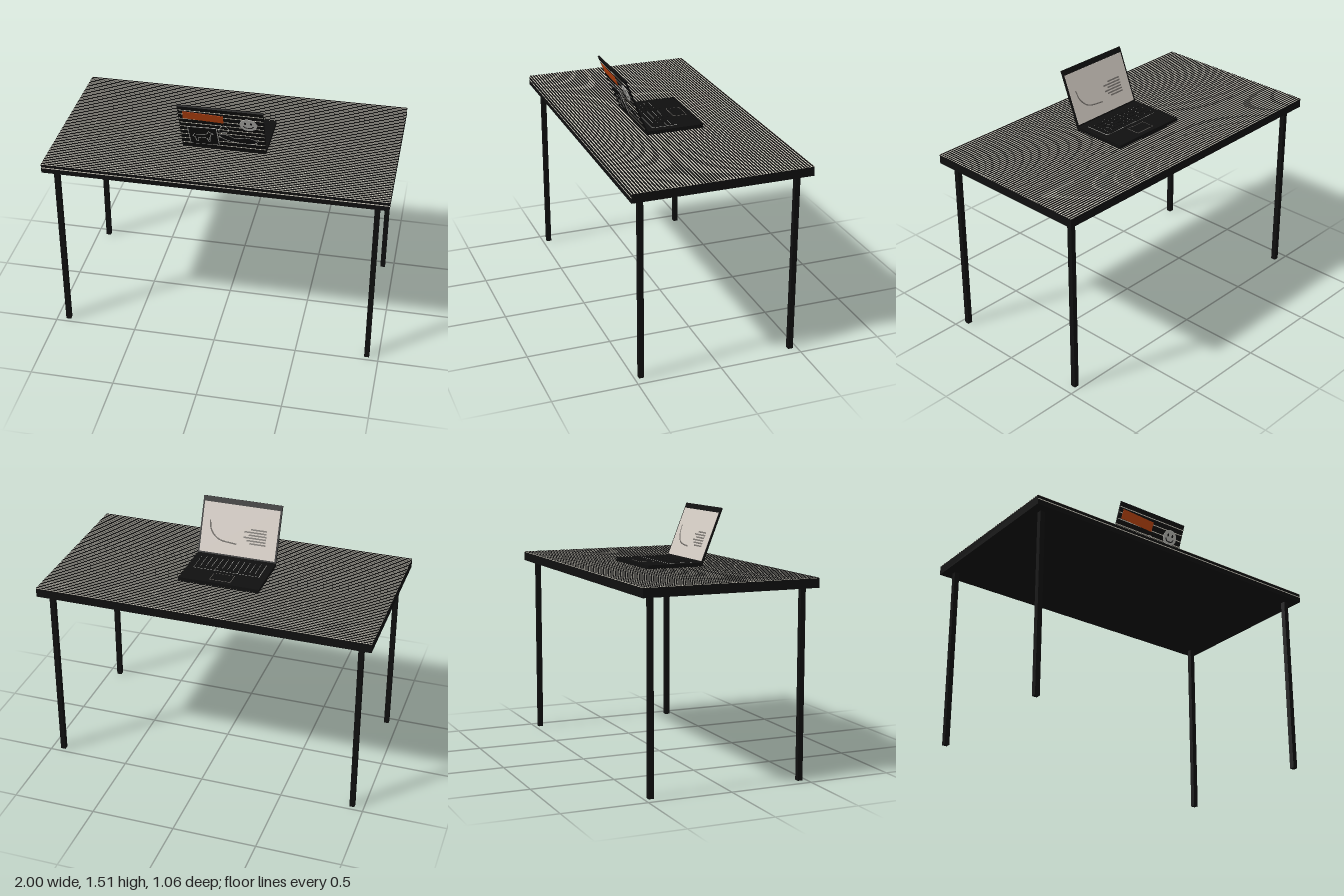
import * as THREE from 'three';
import { mergeGeometries } from 'three/addons/utils/BufferGeometryUtils.js';

const paint = (name, color) => Object.assign(new THREE.MeshStandardMaterial({ color }), { name });

export function createModel() {
  const black = paint('black', 0x0f0f0f);
  const cream = paint('cream', 0xd6d2c4);
  const screenGrey = paint('screen', 0xd0c8c0);
  const inkGrey = paint('ink', 0x77736e);
  const orange = paint('orange', 0xb8430f);
  const silver = paint('silver', 0xb4b4b0);

  const model = new THREE.Group();
  model.name = 'deskWithLaptop';

  const add = (parent, name, geometry, material) => {
    const mesh = new THREE.Mesh(geometry, material);
    mesh.name = name;
    parent.add(mesh);
    return mesh;
  };
  const block = (w, h, d, x, y, z) => new THREE.BoxGeometry(w, h, d).translate(x, y, z);
  // Flat drawn line through a few [x, y] points, lying at depth z
  const stroke = (points, z, radius = 0.0022, closed = false, straight = false) => {
    const pts = points.map(([x, y]) => new THREE.Vector3(x, y, 0));
    const curve = new THREE.CatmullRomCurve3(pts, closed, 'catmullrom', straight ? 0 : 0.5);
    return new THREE.TubeGeometry(curve, points.length * 6, radius, 4, closed)
      .scale(1, 1, 0.4).translate(0, 0, z);
  };

  // Table: slab, pale surface and fine dark stripes across it
  const table = new THREE.Group();
  table.name = 'table';
  model.add(table);
  add(table, 'tableSlab', block(2, 0.054, 1.06, 0, 1.134, 0), black);
  add(table, 'tableSurface', block(2, 0.002, 1.06, 0, 1.162, 0), cream);
  const stripes = [];
  const count = 60;
  const pitch = 1.06 / count;
  for (let i = 0; i < count; i++) {
    stripes.push(block(2, 0.001, pitch * 0.58, 0, 1.1635, -0.53 + pitch * (i + 0.5)));
  }
  add(table, 'tableStripes', mergeGeometries(stripes), black);
  add(table, 'frontEdgeLine', block(2, 0.005, 0.001, 0, 1.14, 0.5303), cream);
  for (const x of [-0.93, 0.93]) {
    for (const z of [-0.46, 0.46]) {
      add(table, 'leg', block(0.03, 1.108, 0.03, x, 0.554, z), black);
    }
  }

  // Laptop base, its keyboard side faces the back
  const laptop = new THREE.Group();
  laptop.name = 'laptop';
  model.add(laptop);
  add(laptop, 'laptopBase', block(0.495, 0.022, 0.35, 0, 1.174, -0.003), black);
  add(laptop, 'keyboardBed', block(0.41, 0.001, 0.155, 0, 1.1855, 0.045), silver);
  const keys = [];
  for (let row = 0; row < 5; row++) {
    const z = 0.107 - row * 0.031;
    const cols = row === 4 ? [[-0.137, 0.128], [0.0, 0.138], [0.137, 0.128]]
      : Array.from({ length: 12 }, (_, c) => [-0.187 + c * 0.034, 0.03]);
    for (const [x, w] of cols) keys.push(block(w, 0.003, 0.0275, x, 1.187, z));
  }
  add(laptop, 'keys', mergeGeometries(keys), black);
  add(laptop, 'trackpadRim', block(0.13, 0.001, 0.085, 0, 1.1853, -0.105), inkGrey);
  add(laptop, 'trackpad', block(0.124, 0.001, 0.079, 0, 1.1858, -0.105), black);

  // Lid, leaning towards the front
  const lid = new THREE.Group();
  lid.name = 'lid';
  lid.position.set(0, 1.178, 0.168);
  lid.rotation.x = 0.378;
  laptop.add(lid);
  add(lid, 'lidShell', block(0.495, 0.352, 0.01, 0, 0.176, 0), black);
  add(lid, 'screen', block(0.475, 0.305, 0.002, 0, 0.167, -0.0055), screenGrey);

  // Picture on the screen: a curve and lines of text-like bars
  add(lid, 'screenCurve', stroke([[0.19, 0.21], [0.175, 0.15], [0.12, 0.1], [0.01, 0.085]], -0.007, 0.004), inkGrey);
  const bars = [];
  for (let i = 0; i < 6; i++) {
    const w = [0.1, 0.14, 0.11, 0.14, 0.12, 0.1][i];
    bars.push(block(w, 0.009, 0.001, -0.17 + w / 2, 0.185 - i * 0.017, -0.007));
  }
  add(lid, 'screenBars', mergeGeometries(bars), inkGrey);

  // Pale lines over the back of the lid
  const lines = [0.025, 0.065, 0.105, 0.14, 0.175, 0.21, 0.245, 0.285, 0.32]
    .map((y) => block(0.49, 0.005, 0.001, 0, y, 0.0053));
  add(lid, 'lidLines', mergeGeometries(lines), cream);

  // Orange label
  const label = add(lid, 'orangeLabel', block(0.235, 0.06, 0.003, 0, 0, 0), orange);
  label.position.set(-0.103, 0.275, 0.0065);
  label.rotation.z = -0.05;

  // Smiling face badge
  const badge = new THREE.Group();
  badge.name = 'smileBadge';
  badge.position.set(0.157, 0.244, 0.0065);
  lid.add(badge);
  add(badge, 'badgeDisc', new THREE.CylinderGeometry(0.05, 0.05, 0.004, 32).rotateX(Math.PI / 2), silver);
  for (const x of [-0.017, 0.017]) {
    add(badge, 'eye', new THREE.CircleGeometry(0.008, 12).scale(0.8, 1.3, 1).translate(x, 0.015, 0.0025), black);
  }
  add(badge, 'smile', stroke([[-0.03, -0.006], [-0.016, -0.023], [0.016, -0.023], [0.03, -0.006]], 0.0022, 0.0035), black);

  // Square sticker with a line drawing of a horned animal
  const sticker = new THREE.Group();
  sticker.name = 'animalSticker';
  sticker.position.set(-0.114, 0.102, 0.006);
  sticker.rotation.z = 0.04;
  lid.add(sticker);
  add(sticker, 'stickerBorder', block(0.172, 0.156, 0.002, 0, 0, 0), silver);
  add(sticker, 'stickerFace', block(0.164, 0.148, 0.002, 0, 0, 0.0008), black);
  add(sticker, 'animalOutline', stroke([
    [-0.055, 0.012], [0.02, 0.016], [0.035, 0.045], [0.045, 0.034], [0.064, 0.024], [0.046, 0.018],
    [0.036, -0.012], [0.034, -0.05], [0.024, -0.05], [0.022, -0.018], [-0.03, -0.016],
    [-0.036, -0.05], [-0.046, -0.05], [-0.05, -0.012], [-0.064, -0.004],
  ], 0.002, 0.0022, true, true), silver);

  // Pear-shaped sticker drawn in outline, with a small leaf above
  const fruit = new THREE.Group();
  fruit.name = 'fruitSticker';
  fruit.position.z = 0.006;
  lid.add(fruit);
  const outline = [
    [-0.02, 0.125], [0.03, 0.13], [0.08, 0.105], [0.15, 0.12], [0.2, 0.095], [0.17, 0.068], [0.08, 0.07], [0.01, 0.09],
  ];
  const fill = new THREE.Shape(new THREE.SplineCurve(
    [...outline, outline[0]].map(([x, y]) => new THREE.Vector2(x, y))).getPoints(40));
  add(fruit, 'fruitFill', new THREE.ShapeGeometry(fill), black);
  add(fruit, 'fruitOutline', stroke(outline, 0.0005, 0.002, true), silver);
  add(fruit, 'leafOutline', stroke([[-0.02, 0.16], [0.01, 0.215], [0.04, 0.18], [0.015, 0.15]], 0.0005, 0.002, true), silver);

  return model;
}
